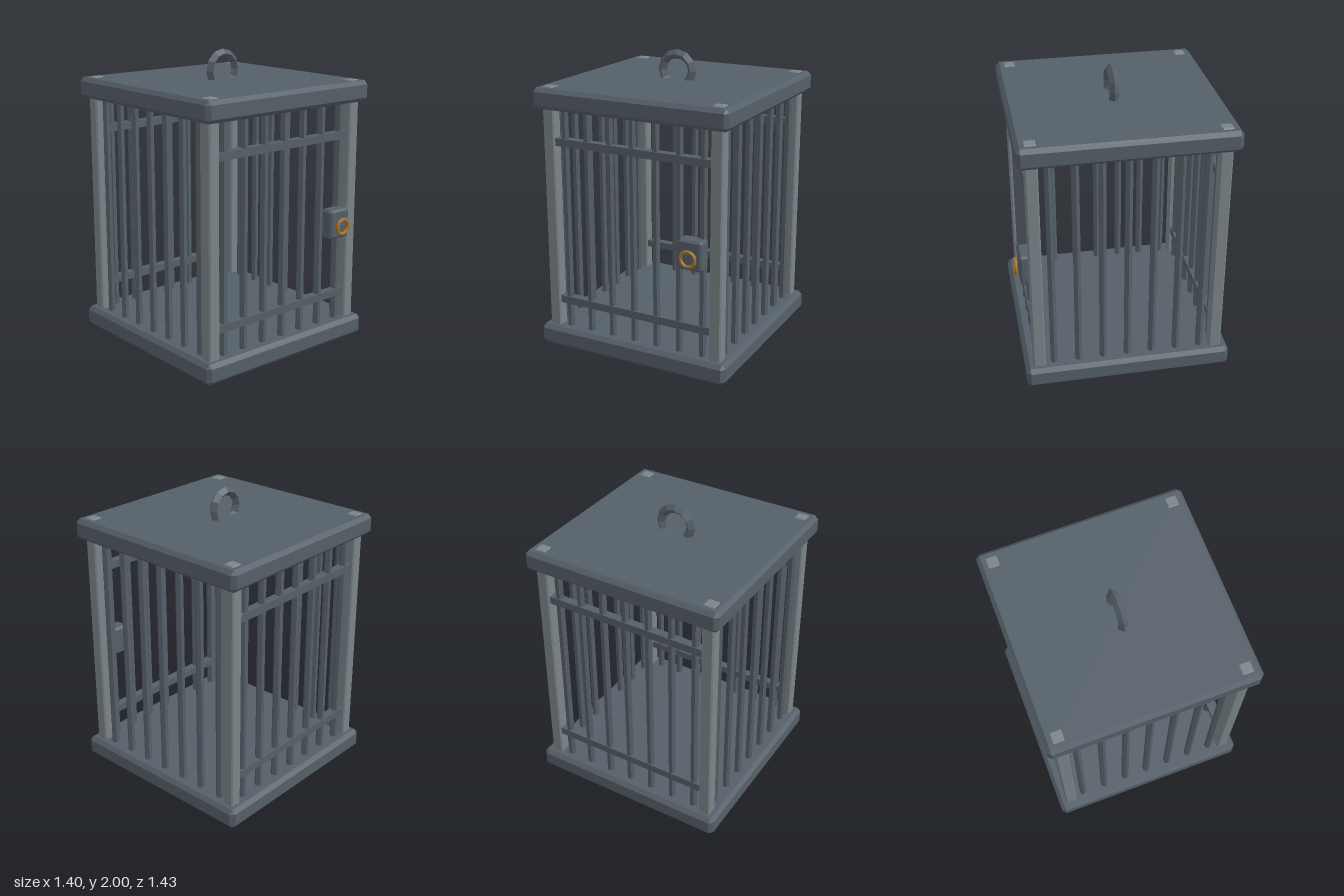
import * as THREE from 'three';
import { ConvexGeometry } from 'three/addons/geometries/ConvexGeometry.js';

const material = (color) => new THREE.MeshStandardMaterial({ color, flatShading: true });

// Box with every edge and corner chamfered by b
function chamferBox(w, h, d, b) {
  const pts = [];
  for (const x of [-1, 1]) for (const y of [-1, 1]) for (const z of [-1, 1]) {
    for (const [i, j, k] of [[0, b, b], [b, 0, b], [b, b, 0]]) {
      pts.push(new THREE.Vector3(x * (w / 2 - i), y * (h / 2 - j), z * (d / 2 - k)));
    }
  }
  return new ConvexGeometry(pts);
}

export function createModel() {
  const model = new THREE.Group();
  const iron = material(0x555f68);
  const steel = material(0x7b8488);
  const brass = material(0xa87428);

  const cage = new THREE.Group();
  cage.name = 'cage';
  cage.position.z = -0.013;
  model.add(cage);

  const add = (parent, name, geometry, mat, x, y, z) => {
    const mesh = new THREE.Mesh(geometry, mat);
    mesh.name = name;
    mesh.position.set(x, y, z);
    parent.add(mesh);
    return mesh;
  };

  // Floor and roof slabs
  const slab = chamferBox(1.396, 0.14, 1.396, 0.026);
  add(cage, 'floor', slab, iron, 0, 0.07, 0);
  add(cage, 'roof', slab, iron, 0, 1.73, 0);

  // Corner posts, their tips showing through the roof
  const side = 0.607;
  const post = chamferBox(0.083, 1.785, 0.083, 0.009);
  for (const x of [-side, side]) for (const z of [-side, side]) {
    add(cage, 'cornerPost', post, steel, x, 0.9125, z);
  }

  // Seven hexagonal bars on each of the four sides
  const bar = new THREE.CylinderGeometry(0.026, 0.026, 1.6, 6, 1);
  bar.rotateY(Math.PI / 2);
  for (let i = -3; i <= 3; i++) {
    const t = i * 0.168;
    for (const s of [-side, side]) {
      add(cage, 'faceBar', bar, iron, t, 0.9, s);
      add(cage, 'sideBar', bar, iron, s, 0.9, t);
    }
  }

  // Cross rails on front and back
  const rail = new THREE.BoxGeometry(1.14, 0.052, 0.056);
  for (const y of [0.331, 1.441]) for (const z of [-side, side]) {
    add(cage, 'crossRail', rail, iron, 0, y, z);
  }

  // Hanging ring, half sunk into the roof
  add(cage, 'hangingRing', new THREE.TorusGeometry(0.11, 0.031, 4, 12), iron, 0, 1.86, 0);

  // Lock plate with brass ring
  const lock = new THREE.Group();
  lock.name = 'lock';
  lock.position.set(0.45, 0.85, 0);
  add(lock, 'lockPlate', chamferBox(0.172, 0.2, 0.1, 0.014), iron, 0, 0, 0.635);
  add(lock, 'lockRing', new THREE.TorusGeometry(0.05, 0.012, 6, 16), brass, 0, -0.015, 0.707);
  model.add(lock);

  return model;
}
